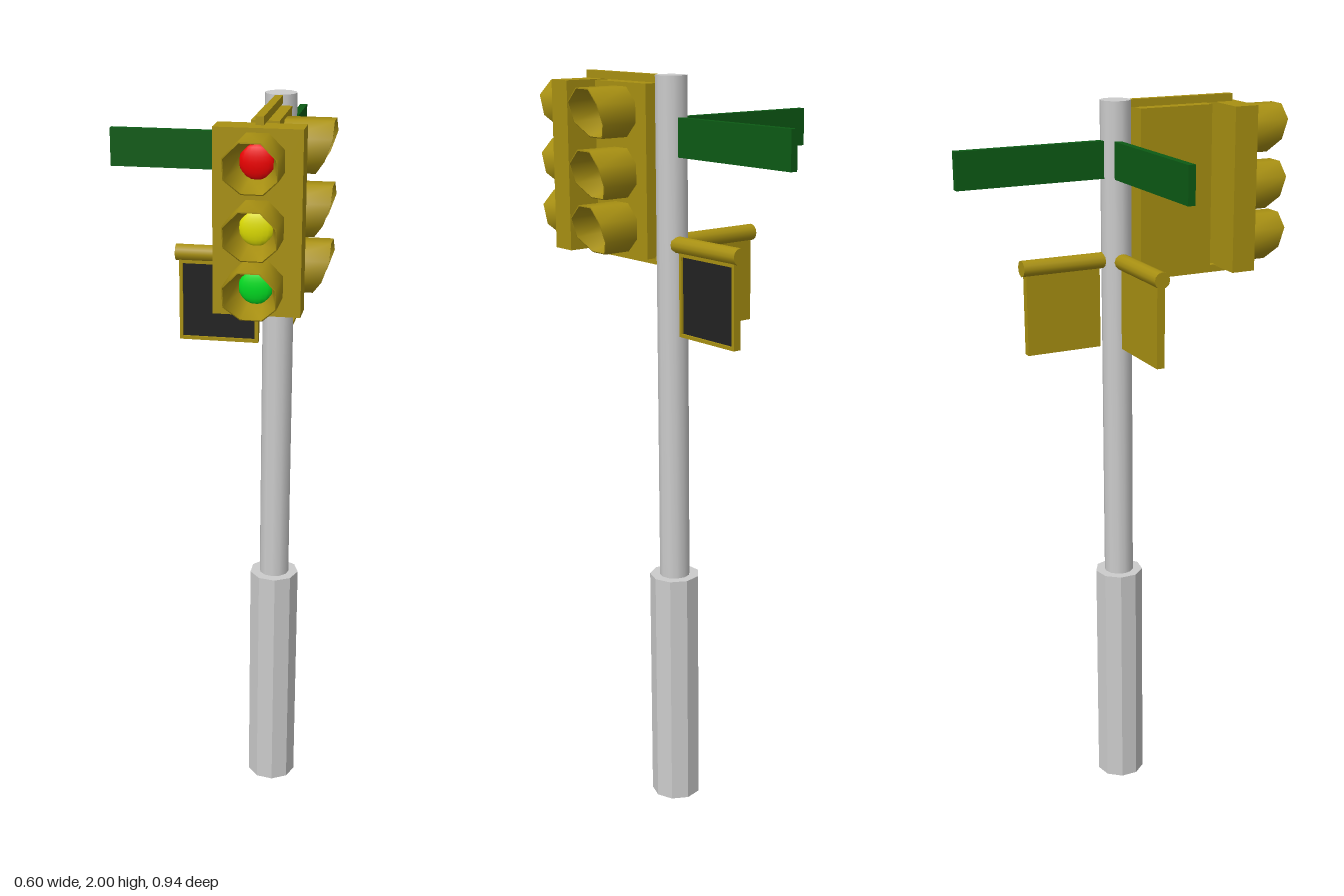
import * as THREE from 'three';
import { toCreasedNormals } from 'three/addons/utils/BufferGeometryUtils.js';

const mat = (color, extra = {}) => new THREE.MeshStandardMaterial({ color, ...extra });
const grey = mat(0xcccccc);
const greyFlat = mat(0xcccccc, { flatShading: true });
const yellow = mat(0xa89012);
const yellowOpen = mat(0xa89012, { side: THREE.DoubleSide });
const green = mat(0x0c5a14);
const black = mat(0x222222);
const lampColors = [0xee0000, 0xdddd00, 0x00dd22];

const POLE_X = 0.142, POLE_Z = -0.021;

function add(parent, name, geometry, material, x = 0, y = 0, z = 0) {
  const mesh = new THREE.Mesh(geometry, material);
  mesh.name = name;
  mesh.position.set(x, y, z);
  parent.add(mesh);
  return mesh;
}

// Eight-sided hood, open to +z, its lower lip cut back
function visorGeometry() {
  const R = 0.0685, L = 0.12;
  const profile = [[R, 0], [R, L], [R - 0.003, L], [0.042, 0.01]].map(p => new THREE.Vector2(...p));
  const geo = new THREE.LatheGeometry(profile, 8, Math.PI / 8);
  geo.rotateX(Math.PI / 2);
  const pos = geo.attributes.position;
  for (let i = 0; i < pos.count; i++) {
    if (pos.getZ(i) < L * 0.9) continue;
    const drop = Math.max(0, 0.026 - pos.getY(i)) / 0.09;
    pos.setZ(i, L - 0.043 * Math.pow(drop, 1.6));
  }
  return toCreasedNormals(geo, 0.9);
}

// Signal head facing +z, with the front of its housing at z = 0
function signalHead(name) {
  const head = new THREE.Group();
  head.name = name;
  add(head, 'housing', new THREE.BoxGeometry(0.212, 0.444, 0.068), yellow, 0, 1.755, -0.034);
  const visor = visorGeometry();
  [1.903, 1.748, 1.607].forEach((y, i) => {
    add(head, 'visor', visor, yellowOpen, 0, y, 0);
    const lens = new THREE.SphereGeometry(0.042, 16, 10);
    lens.scale(1, 1, 0.35);
    add(head, 'lens', lens, mat(lampColors[i]), 0, y, 0.01);
  });
  return head;
}

// Pedestrian sign facing +z, reaching sideways from the pole
function walkSign(name, dir) {
  const sign = new THREE.Group();
  sign.name = name;
  const rod = new THREE.CylinderGeometry(0.022, 0.022, 0.243, 12);
  rod.rotateZ(Math.PI / 2);
  add(sign, 'hoodRod', rod, yellow, dir * 0.151, 1.58, 0);

  const w = 0.106, h = 0.109, t = 0.009;
  const rect = (S, a, b) => new S([[-a, -b], [a, -b], [a, b], [-a, b]].map(p => new THREE.Vector2(...p)));
  const frame = rect(THREE.Shape, w, h);
  frame.holes.push(rect(THREE.Path, w - t, h - t));
  const x = dir * 0.157, y = 1.453;
  add(sign, 'frame', new THREE.ExtrudeGeometry(frame, { depth: 0.022, bevelEnabled: false }), yellow, x, y, -0.01);
  add(sign, 'backPlate', new THREE.BoxGeometry(2 * (w - t), 2 * (h - t), 0.01), yellow, x, y, -0.005);
  add(sign, 'screen', new THREE.BoxGeometry(2 * (w - t), 2 * (h - t), 0.006), black, x, y, 0.003);
  return sign;
}

export function createModel() {
  const model = new THREE.Group();
  model.name = 'trafficLight';

  // Pole and its wider nine-sided foot
  add(model, 'pole', new THREE.CylinderGeometry(0.041, 0.041, 1.36, 12), grey, POLE_X, 1.32, POLE_Z);
  const foot = new THREE.CylinderGeometry(0.068, 0.068, 0.665, 9);
  foot.rotateY(Math.PI / 2 - Math.PI / 2 * 2 + Math.PI / 2 + Math.PI / 2);
  add(model, 'foot', foot, greyFlat, POLE_X, 0.3325, POLE_Z);

  // Bars that carry the signal heads
  for (const y of [1.989, 1.527]) {
    add(model, 'signalBar', new THREE.BoxGeometry(0.02, 0.02, 0.34), yellow, POLE_X, y, 0.152);
  }

  // Two signal heads, one facing the front and one facing +x
  const front = signalHead('frontSignal');
  front.position.set(POLE_X, 0, 0.347);
  const side = signalHead('sideSignal');
  side.position.set(0.178, 0, 0.143);
  side.rotation.y = Math.PI / 2;
  model.add(front, side);

  // Two pedestrian signs
  const walkFront = walkSign('frontWalkSign', -1);
  walkFront.position.set(POLE_X, 0, POLE_Z);
  const walkSide = walkSign('sideWalkSign', 1);
  walkSide.position.set(0.15, 0, POLE_Z);
  walkSide.rotation.y = Math.PI / 2;
  model.add(walkFront, walkSide);

  // Street name blades
  add(model, 'sideBlade', new THREE.BoxGeometry(0.43, 0.098, 0.02), green, -0.087, 1.849, -0.031);
  add(model, 'rearBlade', new THREE.BoxGeometry(0.02, 0.098, 0.43), green, POLE_X, 1.849, -0.253);

  return model;
}
